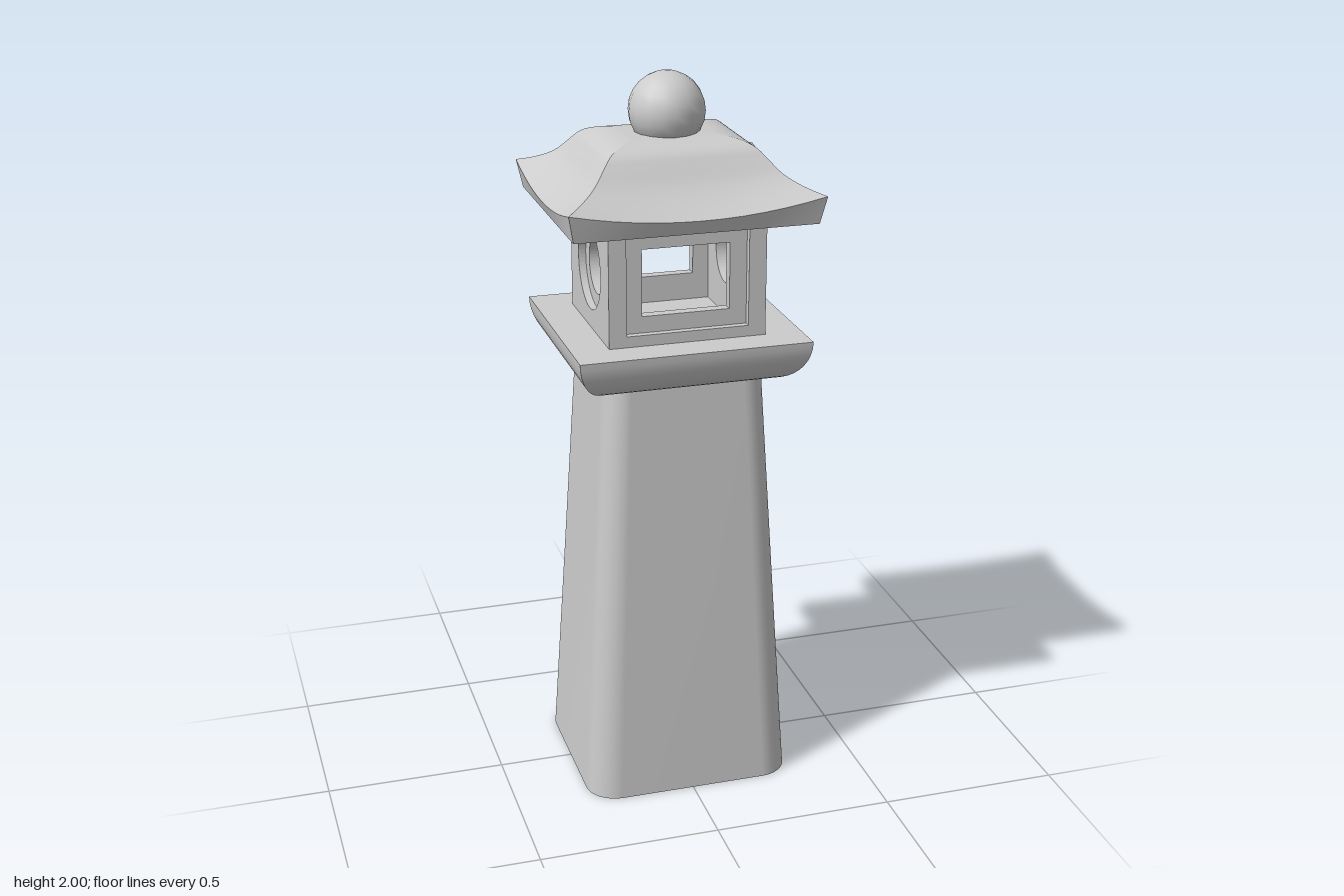
import * as THREE from 'three';

const stone = new THREE.MeshStandardMaterial({ color: 0xcccccc });
const thinStone = new THREE.MeshStandardMaterial({ color: 0xcccccc, side: THREE.DoubleSide });

function add(parent, name, geometry, material = stone) {
  const mesh = new THREE.Mesh(geometry, material);
  mesh.name = name;
  parent.add(mesh);
  return mesh;
}

// Skin stretched over rows of points, each row running left to right, rows going up
function skin(rows) {
  const n = rows[0].length;
  const index = [];
  for (let j = 0; j < rows.length - 1; j++) {
    for (let i = 0; i < n - 1; i++) {
      const a = j * n + i, b = a + 1, c = b + n, d = a + n;
      index.push(a, b, c, a, c, d);
    }
  }
  const g = new THREE.BufferGeometry();
  g.setAttribute('position', new THREE.Float32BufferAttribute(rows.flat(2), 3));
  g.setIndex(index);
  g.computeVertexNormals();
  return g;
}

// Four mitred sides through rectangular rings [halfX, halfZ, y, cornerLift]
function mitredSides(parent, name, rings, steps = 1) {
  const corners = [[-1, 1], [1, 1], [1, -1], [-1, -1]];
  for (let k = 0; k < 4; k++) {
    const p = corners[k], q = corners[(k + 1) % 4];
    const rows = rings.map(([hx, hz, y, lift = 0]) => {
      const row = [];
      for (let i = 0; i <= steps; i++) {
        const t = i / steps, e = 2 * t - 1;
        row.push([
          hx * (p[0] + (q[0] - p[0]) * t),
          y + lift * e * e,
          hz * (p[1] + (q[1] - p[1]) * t),
        ]);
      }
      return row;
    });
    add(parent, name, skin(rows));
  }
}

// Horizontal rounded rectangle, counter-clockwise seen from above
function roundedRing(hx, hz, r, y) {
  const ring = [];
  const arc = 8;
  for (let k = 0; k < 4; k++) {
    const cx = (k === 0 || k === 3 ? 1 : -1) * (hx - r);
    const cz = (k < 2 ? -1 : 1) * (hz - r);
    for (let i = 0; i <= arc; i++) {
      const a = (k + i / arc) * Math.PI / 2;
      ring.push([cx + r * Math.cos(a), y, cz - r * Math.sin(a)]);
    }
  }
  ring.push(ring[0].slice());
  return ring;
}

function rectangle(Type, hw, y0, y1) {
  return new Type([
    new THREE.Vector2(-hw, y0), new THREE.Vector2(hw, y0),
    new THREE.Vector2(hw, y1), new THREE.Vector2(-hw, y1),
  ]);
}

function circle(r, y) {
  const path = new THREE.Path();
  path.absarc(0, y, r, 0, Math.PI * 2, true);
  return path;
}

// Pierced wall: an inner layer with the opening, an outer layer with the wider recess
const WALL = 0.05, RECESS = 0.02;
function wall(name, hw, face, opening, recess) {
  const group = new THREE.Group();
  group.name = name;
  const layers = [
    ['innerLayer', opening, face - WALL, WALL - RECESS],
    ['outerLayer', recess, face - RECESS, RECESS],
  ];
  for (const [label, hole, z, depth] of layers) {
    const shape = rectangle(THREE.Shape, hw, 1.32, 1.64);
    shape.holes.push(hole);
    const g = new THREE.ExtrudeGeometry(shape, { depth, bevelEnabled: false, curveSegments: 32 });
    add(group, label, g.translate(0, 0, z));
  }
  return group;
}

export function createModel() {
  const model = new THREE.Group();
  model.name = 'stoneLantern';

  // Tapered hollow shaft
  add(model, 'shaft', skin([
    roundedRing(0.293, 0.27, 0.085, 0),
    roundedRing(0.257, 0.238, 0.075, 0.6),
    roundedRing(0.222, 0.205, 0.065, 1.2),
  ]), thinStone);

  // Platform with a rounded underside
  const platform = new THREE.Group();
  platform.name = 'platform';
  const curve = [];
  for (let i = 0; i <= 10; i++) {
    const a = (i / 10) * Math.PI / 2;
    const inset = 0.095 * (1 - Math.sin(a));
    curve.push([0.317 - inset, 0.295 - inset, 1.32 - 0.12 * Math.cos(a)]);
  }
  mitredSides(platform, 'platformSide', curve);
  mitredSides(platform, 'platformTop', [[0.317, 0.295, 1.32], [0, 0, 1.32]]);
  mitredSides(platform, 'platformUnderside', [[0, 0, 1.2], [0.222, 0.2, 1.2]]);
  model.add(platform);

  // Light chamber: square windows front and back, round ones on the sides
  const chamber = new THREE.Group();
  chamber.name = 'lightChamber';
  for (const turn of [0, Math.PI]) {
    const windowWall = wall('windowWall', 0.215, 0.2,
      rectangle(THREE.Path, 0.12, 1.395, 1.577), rectangle(THREE.Path, 0.167, 1.35, 1.617));
    windowWall.rotation.y = turn;
    const roundWall = wall('roundWindowWall', 0.2 - WALL, 0.215,
      circle(0.078, 1.488), circle(0.117, 1.488));
    roundWall.rotation.y = turn + Math.PI / 2;
    chamber.add(windowWall, roundWall);
  }
  model.add(chamber);

  // Roof: flat underside, sloping eave edge, swept slopes with lifted corners
  const roof = new THREE.Group();
  roof.name = 'roof';
  mitredSides(roof, 'roofUnderside', [[0, 0, 1.64], [0.327, 0.288, 1.64]]);
  mitredSides(roof, 'eaveEdge', [[0.327, 0.288, 1.64], [0.342, 0.303, 1.677, 0.038]], 12);
  const profile = new THREE.SplineCurve([
    [0, 1.677], [0.05, 1.712], [0.09, 1.748], [0.122, 1.79],
    [0.142, 1.815], [0.165, 1.829], [0.195, 1.838], [0.225, 1.842],
  ].map(([d, y]) => new THREE.Vector2(d, y)));
  const slope = profile.getPoints(28).map(({ x: d, y }) =>
    [0.342 - d, 0.303 - d, y, 0.038 * Math.max(0, 1 - d / 0.14) ** 1.3]);
  mitredSides(roof, 'roofSlope', [...slope, [0.02, 0.015, 1.845], [0, 0, 1.845]], 12);
  model.add(roof);

  // Ball finial
  add(model, 'finial', new THREE.SphereGeometry(0.103, 16, 12)).position.y = 1.897;

  return model;
}
